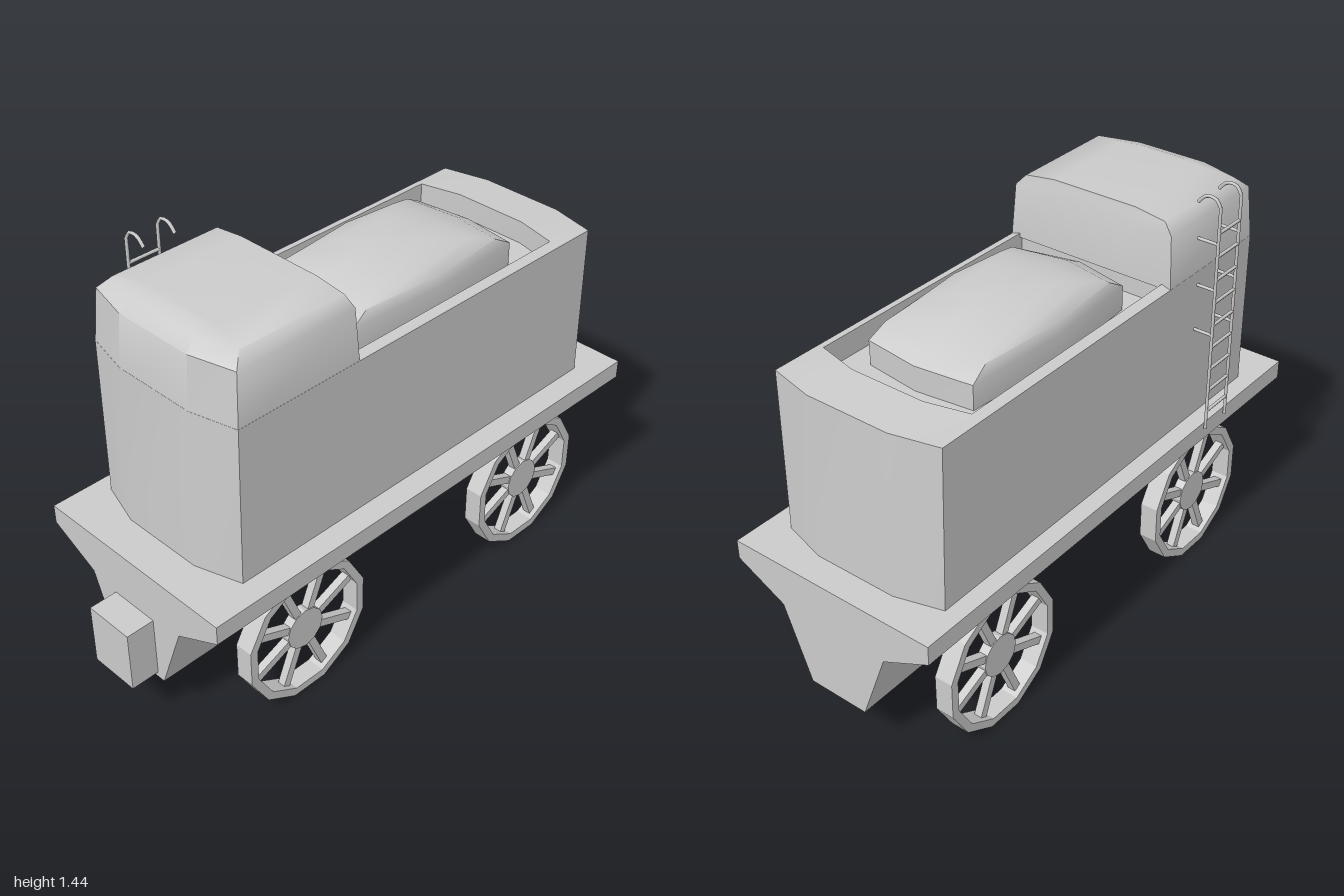
import * as THREE from 'three';
import { toCreasedNormals } from 'three/addons/utils/BufferGeometryUtils.js';

const grey = new THREE.MeshStandardMaterial({ color: 0xcccccc });

function add(parent, name, geometry, x = 0, y = 0, z = 0) {
  const mesh = new THREE.Mesh(geometry, grey);
  mesh.name = name;
  mesh.position.set(x, y, z);
  parent.add(mesh);
  return mesh;
}

// Skin stacked rings of equal point count, bottom to top, and cap both ends
function loft(rings, crease) {
  const n = rings[0].length, index = [];
  for (let r = 0; r + 1 < rings.length; r++) {
    for (let i = 0; i < n; i++) {
      const a = r * n + i, b = r * n + (i + 1) % n;
      index.push(a, b, b + n, a, b + n, a + n);
    }
  }
  const top = (rings.length - 1) * n;
  for (let i = 1; i + 1 < n; i++) {
    index.push(0, i + 1, i, top, top + i, top + i + 1);
  }
  const g = new THREE.BufferGeometry();
  g.setAttribute('position', new THREE.Float32BufferAttribute(rings.flat(2), 3));
  g.setIndex(index);
  return toCreasedNormals(g, crease);
}

// Plan outline with bowed ends: y, end and corner x at the back and front, half width
function plan(y, back, backCorner, frontCorner, front, w) {
  const h = w * 0.48;
  return [[backCorner, w], [frontCorner, w], [front, h], [front, -h],
    [frontCorner, -w], [backCorner, -w], [back, -h], [back, h]].map(([x, z]) => [x, y, z]);
}

function makeWheel() {
  const wheel = new THREE.Group();
  const polygon = (radius) => Array.from({ length: 12 }, (_, i) => {
    const a = (i + 0.5) * Math.PI / 6;
    return new THREE.Vector2(radius * Math.cos(a), radius * Math.sin(a));
  });
  const shape = new THREE.Shape(polygon(0.255));
  shape.holes.push(new THREE.Path(polygon(0.225)));
  const rim = new THREE.ExtrudeGeometry(shape, { depth: 0.065, bevelEnabled: false });
  add(wheel, 'wheelRim', rim, 0, 0, -0.0325);

  const hub = new THREE.CylinderGeometry(0.075, 0.075, 0.035, 12);
  hub.rotateX(Math.PI / 2);
  add(wheel, 'wheelHub', toCreasedNormals(hub, 0.3));

  for (let i = 0; i < 8; i++) {
    const spoke = new THREE.BoxGeometry(0.17, 0.028, 0.028);
    spoke.translate(0.145, 0, 0);
    add(wheel, 'spoke', spoke).rotation.z = (i + 0.5) * Math.PI / 4;
  }
  return wheel;
}

function makeLadder() {
  const ladder = new THREE.Group();
  ladder.name = 'ladder';
  const radius = 0.006, z = -0.387;
  for (const x of [-0.52, -0.4]) {
    // Rail with a hooked top
    const path = new THREE.CurvePath();
    const p = [[0.59, z], [1.41, z], [1.435, -0.37], [1.44, -0.345], [1.432, -0.325], [1.41, -0.305]]
      .map(([y, pz]) => new THREE.Vector3(x, y, pz));
    path.add(new THREE.LineCurve3(p[0], p[1]));
    path.add(new THREE.CatmullRomCurve3(p.slice(1)));
    add(ladder, 'ladderRail', new THREE.TubeGeometry(path, 60, radius, 6));

    // Brackets to the wall
    for (const y of [0.955, 1.12, 1.285]) {
      const bracket = new THREE.CylinderGeometry(radius, radius, 0.08, 6);
      bracket.rotateX(Math.PI / 2);
      add(ladder, 'ladderBracket', bracket, x, y, -0.348);
    }
  }
  for (let i = 0; i < 9; i++) {
    const rung = new THREE.CylinderGeometry(radius, radius, 0.12, 6);
    rung.rotateZ(Math.PI / 2);
    add(ladder, 'ladderRung', rung, -0.46, 0.66 + i * 0.083, z);
  }
  return ladder;
}

export function createModel() {
  const model = new THREE.Group();
  model.name = 'tenderWagon';

  // Chassis: one tapered section along the whole length
  const half = [[0.385, 0.607], [0.385, 0.54], [0.205, 0.45], [0.11, 0.19]];
  const section = [...half.map(([u, y]) => [-u, y]), ...half.reverse()]
    .map(([u, y]) => new THREE.Vector2(u, y));
  const chassis = new THREE.ExtrudeGeometry(new THREE.Shape(section), { depth: 1.9, bevelEnabled: false });
  chassis.rotateY(Math.PI / 2);
  add(model, 'chassis', chassis, -0.9, 0, 0.007);
  add(model, 'coupler', new THREE.BoxGeometry(0.12, 0.22, 0.18), -0.94, 0.32, 0);

  // Tank walls, rim and recessed bunker floor
  add(model, 'tankBody', loft([
    plan(0.605, -0.772, -0.722, 0.855, 0.9, 0.312),
    plan(1.17, -0.755, -0.715, 0.842, 0.88, 0.317),
    plan(1.18, -0.25, -0.25, 0.68, 0.715, 0.283),
    plan(1.1, -0.25, -0.25, 0.68, 0.715, 0.283),
  ], 0.5), 0, 0, -0.004);

  // Raised rounded cab at the back
  add(model, 'cab', loft([
    plan(1.165, -0.755, -0.715, -0.24, -0.24, 0.317),
    plan(1.35, -0.74, -0.7, -0.248, -0.248, 0.305),
    plan(1.387, -0.7, -0.66, -0.26, -0.26, 0.272),
    plan(1.402, -0.655, -0.635, -0.262, -0.262, 0.16),
  ], 0.75), 0, 0, -0.004);

  // Heaped load: bowed rectangle shrinking toward the top
  const outline = [[-0.355, 0.2], [0, 0.225], [0.37, 0.2], [0.395, 0],
    [0.37, -0.2], [0, -0.225], [-0.355, -0.2], [-0.4, 0]];
  const heap = [[1.1, 1, 1], [1.185, 1, 1], [1.222, 0.82, 0.96], [1.253, 0.56, 0.82],
    [1.268, 0.3, 0.55], [1.273, 0.05, 0.1]];
  add(model, 'coalHeap', loft(
    heap.map(([y, sx, sz]) => outline.map(([x, z]) => [0.205 + x * sx, y, z * sz])), 0.9), 0, 0, -0.003);

  // Wheels
  for (const x of [-0.47, 0.605]) {
    for (const z of [0.288, -0.292]) {
      const wheel = makeWheel();
      wheel.name = (x < 0 ? 'rear' : 'front') + 'Wheel';
      wheel.position.set(x, 0.25, z);
      model.add(wheel);
    }
  }

  model.add(makeLadder());
  return model;
}
